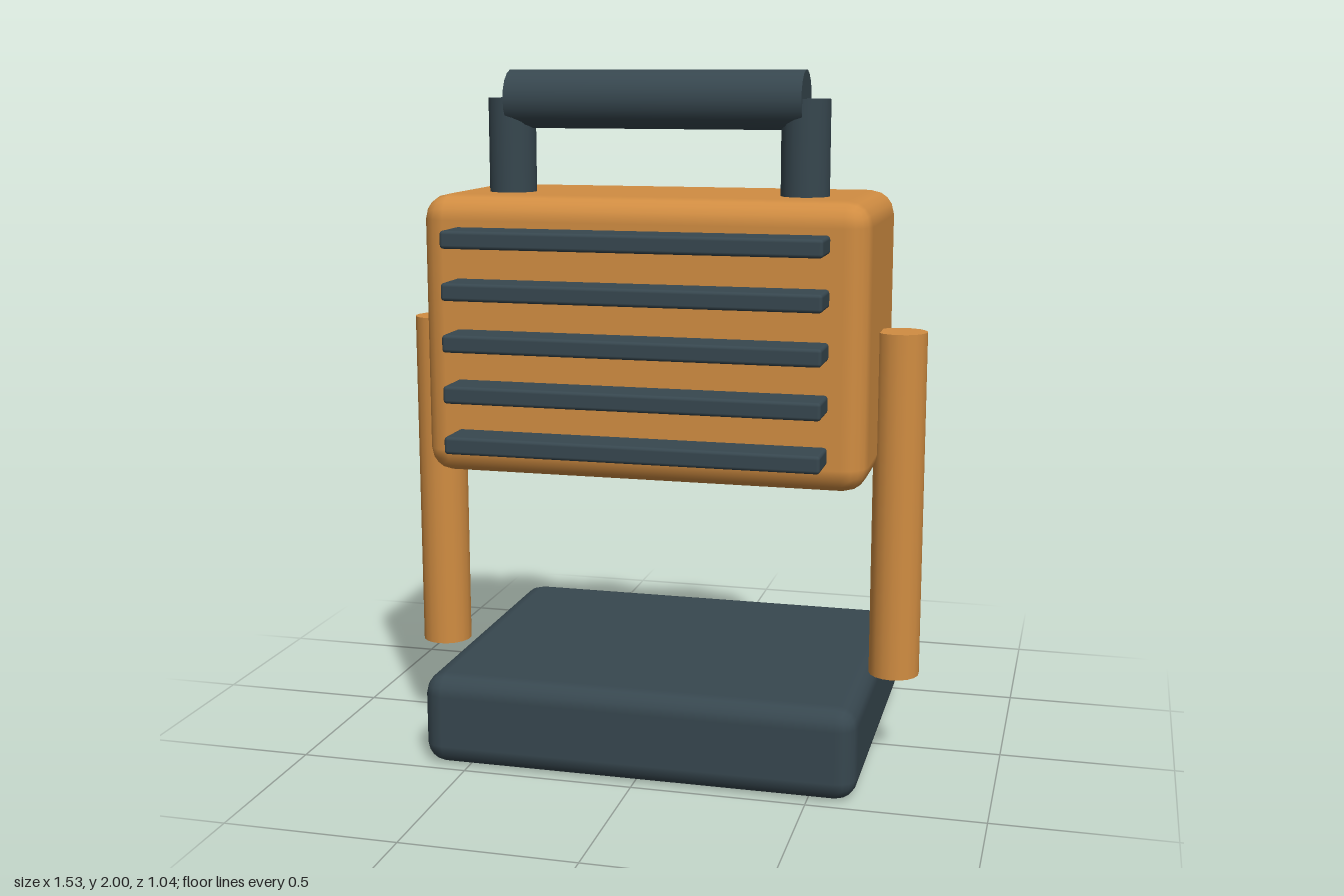
import * as THREE from 'three';
import { RoundedBoxGeometry } from 'three/addons/geometries/RoundedBoxGeometry.js';

function material(name, color) {
  const m = new THREE.MeshStandardMaterial({ color });
  m.name = name;
  return m;
}

export function createModel() {
  const orange = material('orange paint', 0xd18d42);
  const dark = material('dark slate', 0x37474f);
  const grey = material('grey metal', 0x78898f);
  const teal = material('deep teal', 0x2a5a66);
  const cyan = material('cyan glass', 0x45c3d2);

  const model = new THREE.Group();
  model.name = 'workLamp';

  function add(name, geometry, mat, x, y, z) {
    const mesh = new THREE.Mesh(geometry, mat);
    mesh.name = name;
    mesh.position.set(x, y, z);
    model.add(mesh);
    return mesh;
  }

  // Rounded box given by its extents on each axis
  function block(name, mat, [x0, x1], [y0, y1], [z0, z1], radius) {
    const g = new RoundedBoxGeometry(x1 - x0, y1 - y0, z1 - z0, 2, radius);
    return add(name, g, mat, (x0 + x1) / 2, (y0 + y1) / 2, (z0 + z1) / 2);
  }

  const rod = (r, length) => new THREE.CylinderGeometry(r, r, length, 18);

  // Base and lamp housing
  block('base', dark, [-0.635, 0.635], [0, 0.27], [-0.52, 0.485], 0.06);
  block('housing', orange, [-0.635, 0.635], [0.858, 1.655], [-0.175, 0.405], 0.07);

  // Uprights and handle posts on both sides
  for (const [side, s] of [['left', 1], ['right', -1]]) {
    add(side + 'Upright', rod(0.073, 1.005), orange, s * 0.692, 0.7725, 0.115);
    add(side + 'HandlePost', rod(0.068, 0.29), dark, s * 0.425, 1.775, 0.195);
  }

  // Handle grip
  add('handleGrip', rod(0.083, 0.85), dark, 0, 1.917, 0.195).rotation.z = Math.PI / 2;

  // Cooling fins on the front
  for (let i = 0; i < 5; i++) {
    const y = 0.967 + i * 0.1437;
    block('coolingFin', dark, [-0.53, 0.53], [y - 0.025, y + 0.025], [0.36, 0.522], 0.01);
  }

  // Bezel and light panel on the back
  block('bezel', grey, [-0.57, 0.57], [0.93, 1.578], [-0.258, -0.14], 0.02);
  block('lightPanel', teal, [-0.51, 0.51], [0.977, 1.53], [-0.303, -0.22], 0.012);

  // Round lights, two rows of three
  const lens = new THREE.CylinderGeometry(0.112, 0.112, 0.065, 20);
  for (const y of [1.1, 1.41]) {
    for (const x of [-0.33, 0, 0.33]) {
      add('light', lens, cyan, x, y, -0.3145).rotation.x = Math.PI / 2;
    }
  }

  return model;
}
